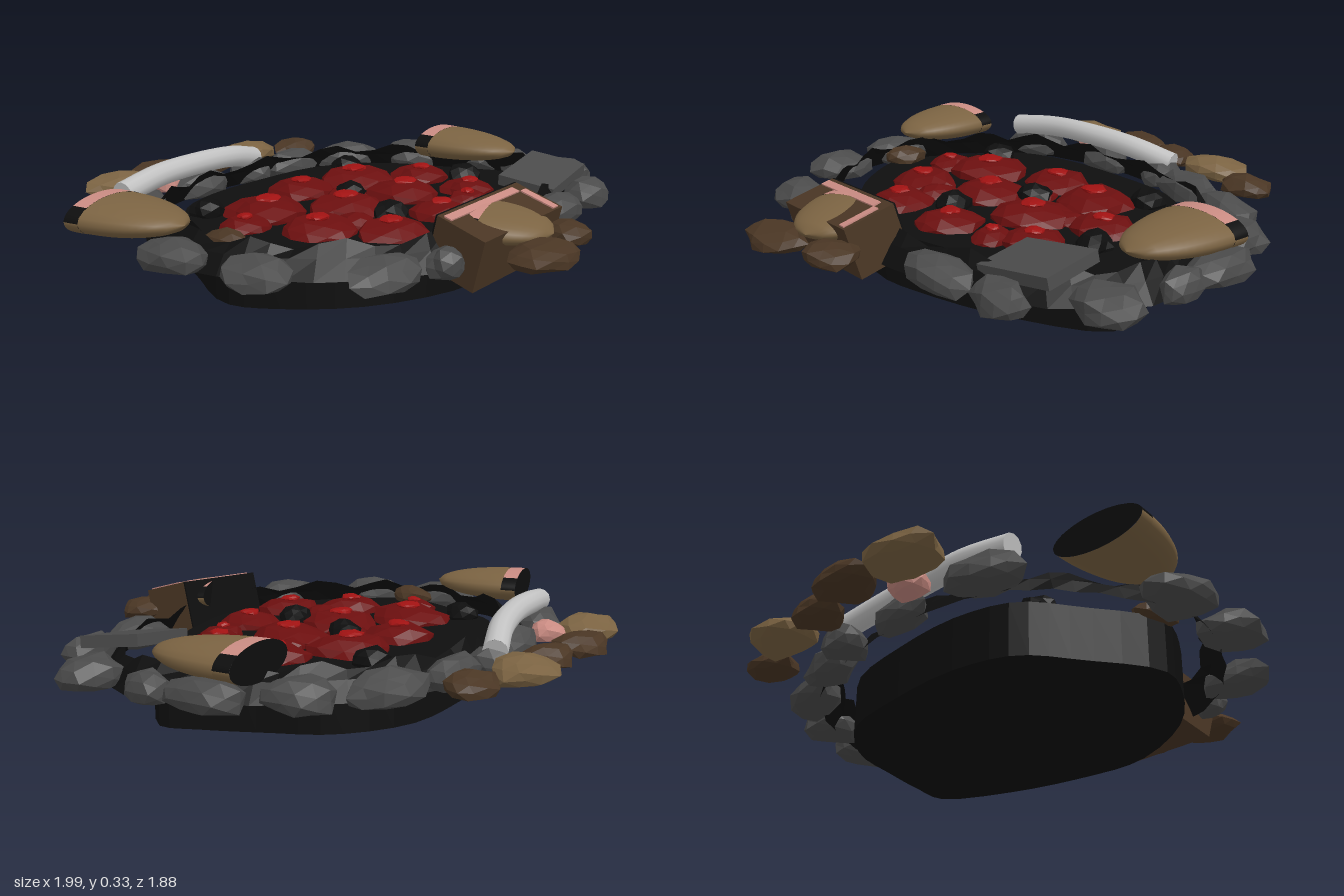
import * as THREE from 'three';

const mat = (name, color, side = THREE.FrontSide) => {
  const m = new THREE.MeshStandardMaterial({ color, side });
  m.name = name;
  return m;
};

export function createModel() {
  const root = new THREE.Group();
  root.name = 'emberPit';
  const char = mat('charBlack', 0x0e0e0e, THREE.DoubleSide);
  const grey = mat('stoneGrey', 0x4b4b4b);
  const tan = mat('tan', 0x7b6342);
  const brown = mat('darkBrown', 0x4a3624);
  const pink = mat('pink', 0xc98b82);
  const bone = mat('boneGrey', 0xc2c2c2);
  const red = mat('emberRed', 0x6c0f0f);
  const core = mat('emberCore', 0xa01212);

  const add = (name, geo, material, x = 0, y = 0, z = 0, parent = root) => {
    const m = new THREE.Mesh(geo, material);
    m.name = name;
    m.position.set(x, y, z);
    parent.add(m);
    return m;
  };

  // Faceted lump: an icosahedron whose corners are pushed by a hash of their position
  function lumpGeometry(seed, sx, sy, sz, rough = 0.22, detail = 1) {
    const g = new THREE.IcosahedronGeometry(1, detail);
    const p = g.attributes.position;
    const v = new THREE.Vector3();
    for (let i = 0; i < p.count; i++) {
      v.fromBufferAttribute(p, i);
      const h = Math.sin(Math.round(v.x * 50) * 1.3 + Math.round(v.y * 50) * 2.7 + Math.round(v.z * 50) * 4.1 + seed * 7.7);
      v.multiplyScalar(1 + rough * (h * 0.5 - 0.15));
      p.setXYZ(i, v.x * sx, Math.max(v.y, -0.6) * sy, v.z * sz);
    }
    g.computeVertexNormals();
    return g;
  }

  // Pit bed: slightly irregular solid disc
  const bedOutline = [[0, -0.51], [0.3, -0.49], [0.52, -0.34], [0.62, -0.15], [0.7, 0.03], [0.74, 0.17], [0.49, 0.35],
    [0.17, 0.47], [-0.07, 0.51], [-0.4, 0.39], [-0.6, 0.2], [-0.68, 0.04], [-0.58, -0.21], [-0.48, -0.39], [-0.29, -0.48]];
  const bedCurve = new THREE.CatmullRomCurve3(bedOutline.map(([x, z]) => new THREE.Vector3(x, 0, z)), true);
  const bedShape = new THREE.Shape(bedCurve.getPoints(48).slice(0, -1).map((p) => new THREE.Vector2(p.x, -p.z)));
  const bedGeo = new THREE.ExtrudeGeometry(bedShape, { depth: 0.185, bevelEnabled: false });
  bedGeo.rotateX(-Math.PI / 2);
  add('pitBed', bedGeo, char);

  // Scorched lip: sloping sheet around the bed
  const lipPoints = [[0, -0.57], [0.35, -0.53], [0.6, -0.35], [0.74, -0.14], [0.82, 0.15], [0.66, 0.38], [0.36, 0.51],
    [0, 0.56], [-0.38, 0.5], [-0.62, 0.28], [-0.73, 0.05], [-0.66, -0.25], [-0.52, -0.45], [-0.28, -0.55]];
  const lipCurve = new THREE.CatmullRomCurve3(lipPoints.map(([x, z]) => new THREE.Vector3(x, 0, z)), true);
  const N = 56, pos = [], idx = [];
  for (let i = 0; i < N; i++) {
    const p = lipCurve.getPoint(i / N);
    const d = p.clone().normalize();
    const w = 0.006 * Math.sin(i * 2.9);
    [[w, 0.235 + 0.018 * Math.sin(i * 1.7)], [0.035, 0.2], [0.075 + w, 0.14]].forEach(([r, y]) =>
      pos.push(p.x + d.x * r, y, p.z + d.z * r));
    for (let k = 0; k < 2; k++) {
      const a = i * 3 + k, b = ((i + 1) % N) * 3 + k;
      idx.push(a, b + 1, b, a, a + 1, b + 1);
    }
  }
  const lip = new THREE.BufferGeometry();
  lip.setAttribute('position', new THREE.Float32BufferAttribute(pos, 3));
  lip.setIndex(idx);
  const lipFlat = lip.toNonIndexed();
  lipFlat.computeVertexNormals();
  add('scorchedLip', lipFlat, char);

  // Rocks: x, z, half width, half depth, turn
  const rocks = (name, material, y, sy, list) => list.forEach(([x, z, sx, sz, turn = 0], i) => {
    add(name, lumpGeometry(i + sx * 10, sx * 1.06, sy, sz * 1.06), material, x, y, z).rotation.y = turn;
  });
  rocks('ringStone', grey, 0.177, 0.062, [
    [-0.53, 0.56, 0.13, 0.09], [-0.33, 0.64, 0.065, 0.055], [-0.77, 0.27, 0.1, 0.12], [-0.82, -0.03, 0.1, 0.13]]);
  rocks('ringStone', grey, 0.177, 0.066, [
    [-0.55, -0.57, 0.13, 0.08, 0.4], [-0.2, -0.63, 0.12, 0.06], [0.08, -0.67, 0.08, 0.08], [0.27, -0.62, 0.13, 0.07],
    [0.53, -0.54, 0.15, 0.085, -0.35], [0.73, -0.36, 0.1, 0.115], [0.88, -0.13, 0.075, 0.14], [0.91, 0.06, 0.05, 0.08],
    [0.88, 0.32, 0.11, 0.1], [0.66, 0.54, 0.1, 0.07], [0.4, 0.57, 0.14, 0.085]]);
  rocks('tanStone', tan, 0.205, 0.05, [[-0.46, -0.79, 0.14, 0.1], [0.22, -0.83, 0.135, 0.1]]);
  rocks('brownStone', brown, 0.2, 0.045, [
    [-0.23, -0.85, 0.12, 0.09], [-0.01, -0.82, 0.1, 0.08], [0.43, -0.76, 0.1, 0.08],
    [-0.13, 0.85, 0.13, 0.09], [0.12, 0.78, 0.09, 0.09], [-0.66, 0.03, 0.06, 0.08]]);
  rocks('pinkStone', pink, 0.2, 0.045, [[-0.33, -0.69, 0.07, 0.06]]);

  // Flat slab leaning on the ring
  const slab = add('leaningSlab', new THREE.BoxGeometry(0.29, 0.04, 0.22), grey, 0.62, 0.235, 0.37);
  slab.rotation.set(0.12, 0.15, 0.12);

  // Embers with a hot core on top, and cold coals between them
  [[-0.32, -0.14, 0.155], [-0.04, -0.25, 0.13], [0.21, -0.21, 0.15], [-0.1, 0.02, 0.145], [0.19, 0.05, 0.145],
    [0.43, -0.06, 0.12], [-0.36, 0.14, 0.13], [-0.22, 0.33, 0.125], [0.07, 0.31, 0.12], [0.39, 0.2, 0.11],
    [-0.49, -0.07, 0.09], [0.27, 0.28, 0.08], [0.03, -0.09, 0.08], [-0.21, 0.17, 0.08], [0.3, -0.02, 0.06]
  ].forEach(([x, z, r], i) => {
    const h = 0.025 + r * 0.25;
    add('ember', lumpGeometry(i, r, h, r, 0.18), red, x, 0.18, z);
    if (i < 12) add('emberCore', lumpGeometry(i + 3, r * 0.32, 0.012, r * 0.3), core, x, 0.178 + h, z);
  });
  [[-0.46, -0.29], [0.33, -0.36], [0.53, 0.07], [-0.07, 0.2], [0.04, -0.08]].forEach(([x, z], i) =>
    add('coal', lumpGeometry(i, 0.065, 0.05, 0.065), char, x, 0.195, z));

  // Husk: half shell lying on its side, tip towards +z, with a black and pink cut end
  function husk(name, x, y, z, turn, radius, length, ry) {
    const g = new THREE.Group();
    g.name = name;
    const profile = (a, b, n) => Array.from({ length: n + 1 }, (_, i) => {
      const t = a + (b - a) * (i / n);
      return new THREE.Vector2(Math.pow(Math.max(0, 1 - Math.pow(t, 2.3)), 0.55) * radius, t * length);
    });
    const shell = (label, material, pts, start, sweep) => {
      const geo = new THREE.LatheGeometry(pts, 20, start, sweep);
      geo.rotateX(Math.PI / 2);
      geo.scale(1, ry / radius, 1);
      return add(label, geo, material, 0, 0, 0, g);
    };
    const body = profile(0.16, 1, 12), rim = profile(0, 0.16, 2);
    shell('huskBody', tan, body, 0, Math.PI * 2);
    // Upper side of the rim: pink in the middle, black either side
    const top = Math.PI;
    shell('huskRimPink', pink, rim, top - 0.8, 1.6);
    shell('huskRimLeft', char, rim, top + 0.8, 0.75);
    shell('huskRimRight', char, rim, top - 1.55, 0.75);
    shell('huskRimUnder', tan, rim, top + 1.55, Math.PI * 2 - 3.1);
    const cap = new THREE.CircleGeometry(radius, 24);
    cap.rotateY(Math.PI);
    cap.scale(1, ry / radius, 1);
    add('huskCutEnd', cap, char, 0, 0, 0, g);
    g.position.set(x, y, z);
    g.rotation.y = turn;
    root.add(g);
    return g;
  }
  husk('rightHusk', -0.84, 0.262, -0.38, 0.2, 0.16, 0.35, 0.062);
  husk('leftHusk', 0.74, 0.262, -0.225, 0.06, 0.155, 0.375, 0.062);
  const frontHusk = husk('frontHusk', -0.08, 0.258, 0.57, 0.3, 0.17, 0.25, 0.055);
  frontHusk.rotation.x = 0.1;

  // Tilted block under the front husk, with pale edge strips
  const block = new THREE.Group();
  block.name = 'tiltedBlock';
  add('blockBody', new THREE.BoxGeometry(0.42, 0.18, 0.185), brown, 0, 0, 0, block);
  add('blockBackFace', new THREE.BoxGeometry(0.42, 0.18, 0.006), char, 0, 0, -0.095, block);
  add('blockBackStrip', new THREE.BoxGeometry(0.36, 0.006, 0.03), pink, -0.02, 0.092, -0.06, block);
  add('blockSideStrip', new THREE.BoxGeometry(0.028, 0.006, 0.13), pink, 0.18, 0.092, 0.02, block);
  block.position.set(-0.065, 0.205, 0.63);
  block.rotation.set(0.27, 0, 0.06);
  root.add(block);

  // Bent bone across the back, with closed ends
  const path = new THREE.CatmullRomCurve3([[-0.64, 0.25, -0.53], [-0.45, 0.275, -0.57], [-0.25, 0.28, -0.595],
    [-0.05, 0.265, -0.635], [0.12, 0.225, -0.69]].map((p) => new THREE.Vector3(...p)));
  add('bone', new THREE.TubeGeometry(path, 24, 0.042, 12), bone);
  [0, 1].forEach((t) => {
    const p = path.getPoint(t);
    const end = add('boneEnd', new THREE.CircleGeometry(0.042, 12), bone, p.x, p.y, p.z);
    end.lookAt(p.clone().addScaledVector(path.getTangent(t), t ? 1 : -1));
  });

  return root;
}
